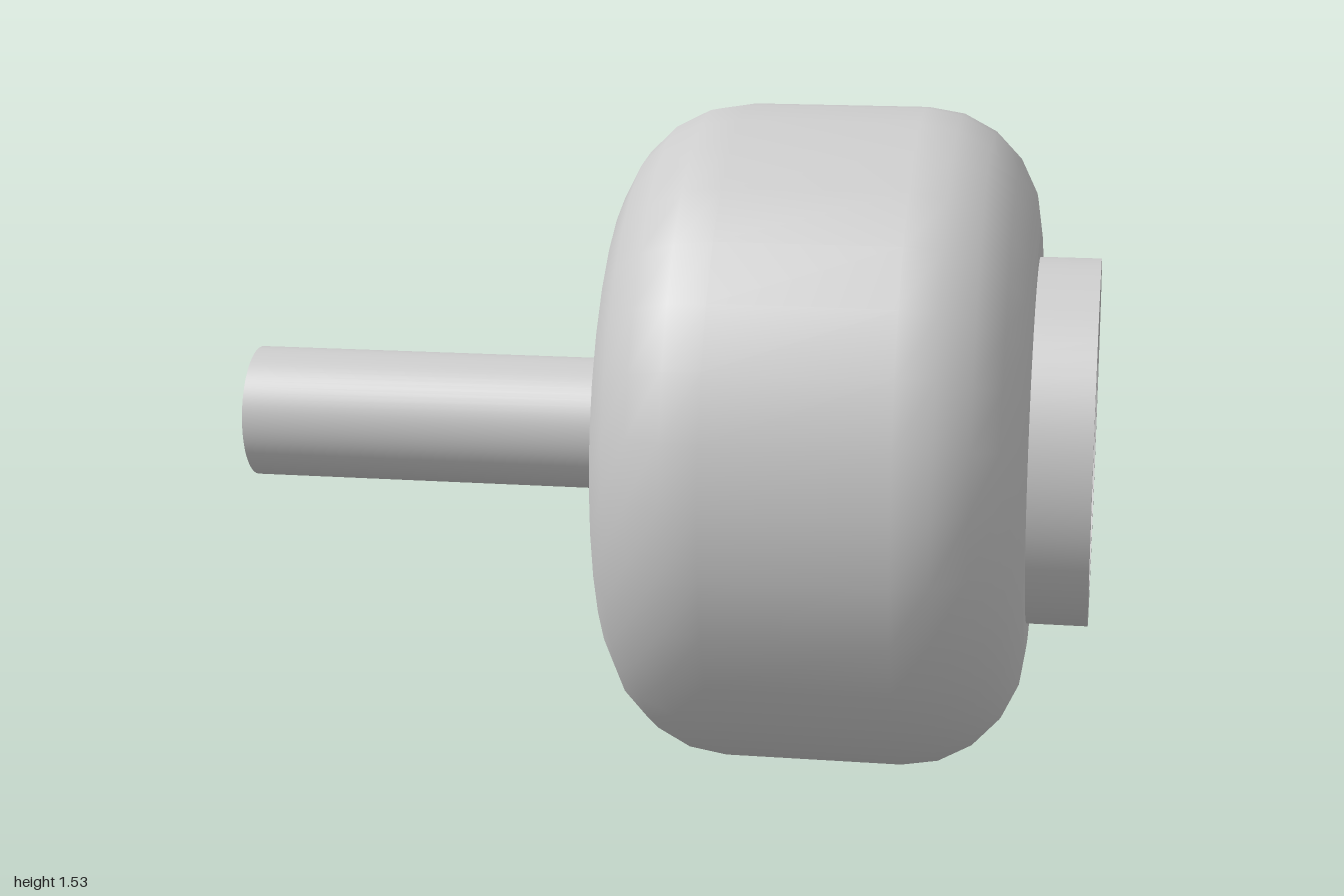
import * as THREE from 'three';
import { mergeGeometries } from 'three/addons/utils/BufferGeometryUtils.js';

const RADIUS = 0.765;
const material = new THREE.MeshStandardMaterial({ color: 0xcccccc });
const openMaterial = new THREE.MeshStandardMaterial({ color: 0xcccccc, side: THREE.DoubleSide });

// Surface of revolution about the axle, from [radius, x] points
function turn(points, sides) {
  const profile = points.map(([r, x]) => new THREE.Vector2(r, x));
  return new THREE.LatheGeometry(profile, sides).rotateZ(-Math.PI / 2);
}

// One lathe per profile segment keeps every edge sharp
function turnSharp(points, sides) {
  const bands = points.slice(1).map((p, i) => turn([points[i], p], sides));
  return mergeGeometries(bands);
}

// Rounded tyre shoulder: quarter arc in five steps, between two angles
function shoulder(x, size, from, to) {
  return Array.from({ length: 6 }, (_, i) => {
    const a = from + ((to - from) * i) / 5;
    return [RADIUS - 0.28 + 0.28 * Math.cos(a), x + size * Math.sin(a)];
  });
}

export function createModel() {
  const group = new THREE.Group();
  const add = (name, geometry, mat = material) => {
    const mesh = new THREE.Mesh(geometry, mat);
    mesh.name = name;
    mesh.position.y = RADIUS;
    group.add(mesh);
  };

  // Wheel body with soft shoulders and flat tread
  const left = shoulder(0.185, 0.28, -Math.PI / 2, 0);
  const right = shoulder(0.59, 0.27, 0, Math.PI / 2);
  add('wheel', mergeGeometries([
    turn([[0, -0.095], left[0]], 32),
    turn([...left, ...right], 32),
    turn([right[5], [0.36, 0.86]], 32),
  ]));

  // Raised rim with a recess and a tapered boss holding a shallow bore
  add('hub', turnSharp([
    [0.425, 0.82], [0.425, 1], [0.355, 1], [0.355, 0.78], [0.29, 0.78],
    [0.23, 0.94], [0.173, 0.94], [0.173, 0.85], [0, 0.85],
  ], 64));

  // Open-ended axle tube
  add('axle', turn([[0.155, -1], [0.155, -0.09]], 64), openMaterial);

  return group;
}
